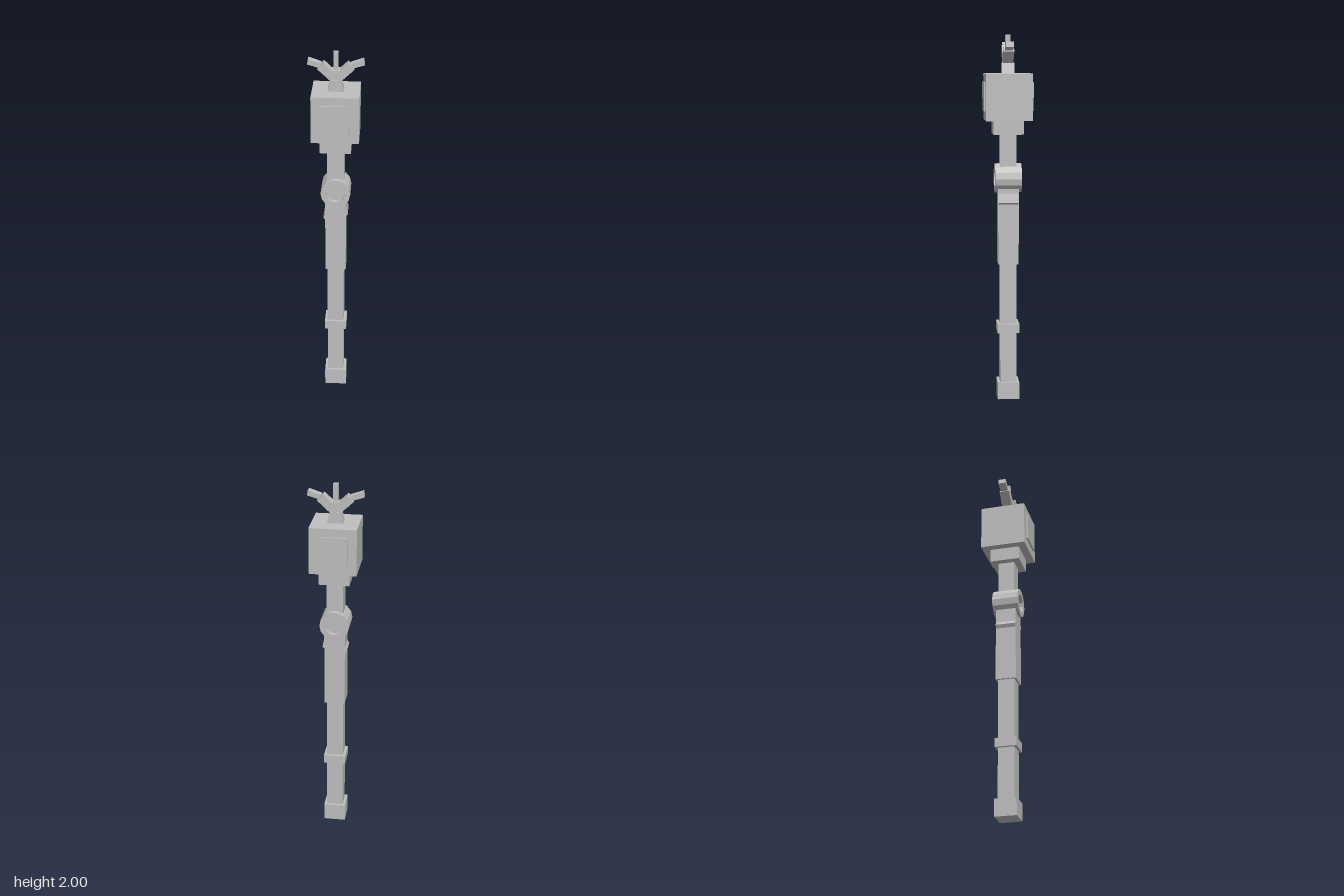
import * as THREE from 'three';

export function createModel() {
  const model = new THREE.Group();
  const grey = new THREE.MeshStandardMaterial({ color: 0xbfbfbf, flatShading: true });
  grey.name = 'stone grey';

  const add = (name, geometry) => {
    const mesh = new THREE.Mesh(geometry, grey);
    mesh.name = name;
    model.add(mesh);
    return mesh;
  };
  // square block from half width, bottom and top
  const block = (name, half, y0, y1, halfZ = half) => {
    const mesh = add(name, new THREE.BoxGeometry(half * 2, y1 - y0, halfZ * 2));
    mesh.position.y = (y0 + y1) / 2;
    return mesh;
  };
  // front outline extruded evenly about z = 0
  const slab = (name, points, halfZ) => {
    const shape = new THREE.Shape(points.map(([x, y]) => new THREE.Vector2(x, y)));
    const geometry = new THREE.ExtrudeGeometry(shape, { depth: halfZ * 2, bevelEnabled: false });
    return add(name, geometry.translate(0, 0, -halfZ));
  };
  const circle = (radius, sides) => Array.from({ length: sides }, (_, i) => {
    const a = (i / sides) * Math.PI * 2;
    return new THREE.Vector2(Math.cos(a) * radius, Math.sin(a) * radius);
  });

  // shaft
  block('foot', 0.06, 0, 0.095);
  block('lowerShaft', 0.045, 0.095, 1.23);
  block('upperShaft', 0.045, 1.23, 1.47);
  block('band', 0.06, 0.375, 0.425);
  block('sleeve', 0.056, 0.76, 1.18);

  // flaps at the top of the sleeve
  slab('leftFlap', [[0.045, 1.19], [0.045, 1.09], [0.056, 1.09], [0.066, 1.1], [0.05, 1.18]], 0.055);
  slab('rightFlap', [[-0.05, 1.11], [-0.066, 1.08], [-0.05, 1.05]], 0.055);

  // joint ring with recessed, split hub
  const ring = new THREE.Shape(circle(0.08, 14));
  ring.holes.push(new THREE.Path(circle(0.05, 14)));
  const ringGeometry = new THREE.ExtrudeGeometry(ring, { depth: 0.144, bevelEnabled: false });
  add('jointRing', ringGeometry.translate(0, 0, -0.072)).position.y = 1.23;
  for (const start of [0, Math.PI]) {
    const hub = new THREE.CylinderGeometry(0.05, 0.05, 0.094, 7, 1, false, start + Math.PI / 2, Math.PI);
    add('jointHub', hub.rotateX(Math.PI / 2)).position.y = 1.23;
  }

  // head
  block('collar', 0.082, 1.47, 1.545);
  block('head', 0.125, 1.545, 1.795);
  for (const side of [1, -1]) {
    const panel = add('headPanel', new THREE.BoxGeometry(0.154, 0.155, 0.009));
    panel.position.set(0, 1.673, side * 0.129);
  }

  // crown: tapered neck, forked arms, tips and spike
  slab('crownNeck', [[-0.042, 1.795], [0.042, 1.795], [0.028, 1.853], [-0.028, 1.853]], 0.033);
  slab('crownFork', [
    [-0.028, 1.85], [0.028, 1.85], [0.095, 1.912], [0.063, 1.945], [0.022, 1.906],
    [-0.022, 1.906], [-0.063, 1.945], [-0.095, 1.912],
  ], 0.028);
  for (const side of [1, -1]) {
    const tip = [[0.08, 1.907], [0.148, 1.935], [0.143, 1.963], [0.075, 1.94]];
    // gentle outward rise
    tip[0][1] = 1.915;
    slab('crownTip', tip.map(([x, y]) => [x * side, y]), 0.021);
  }
  block('crownSpike', 0.013, 1.89, 2);

  return model;
}
